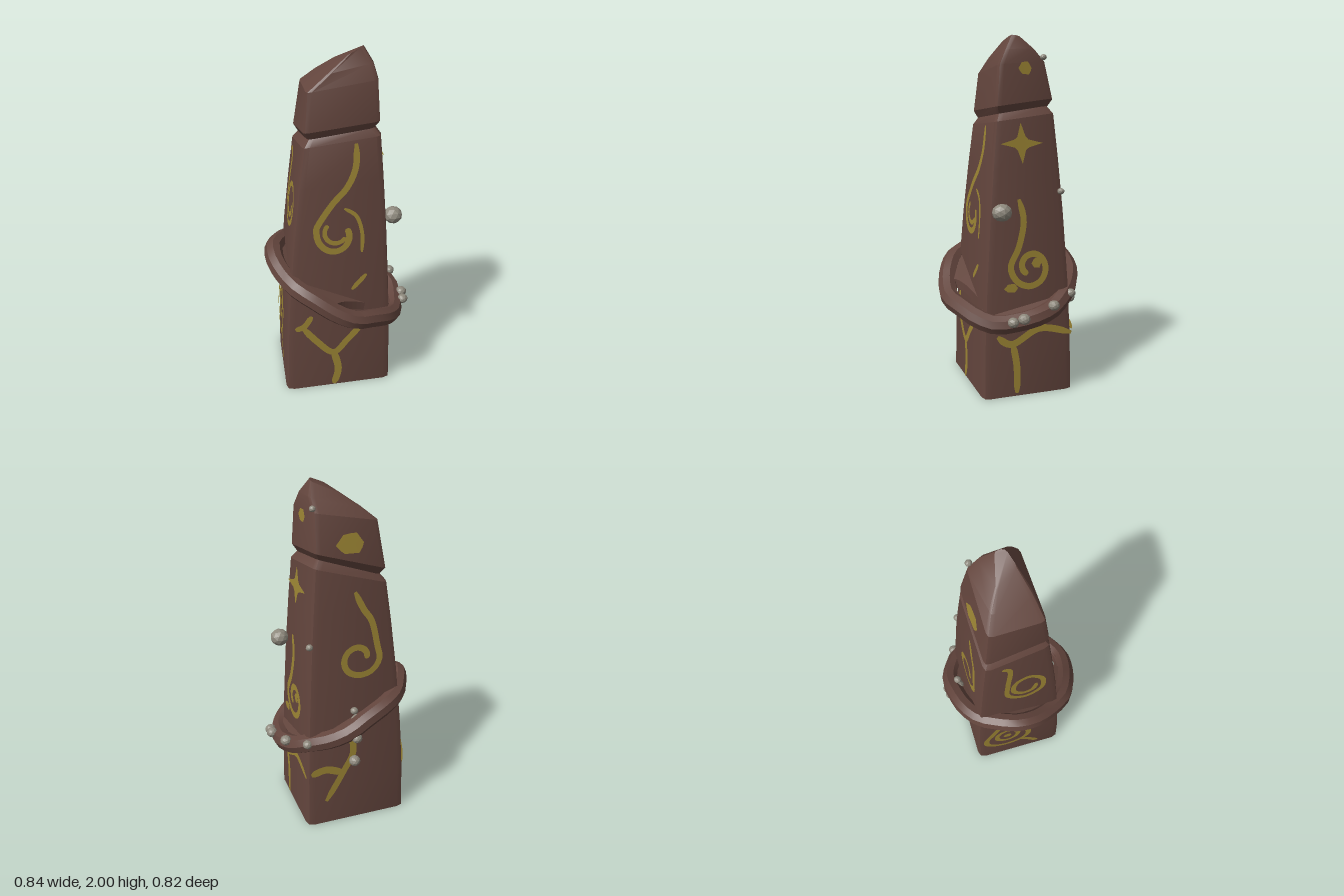
import * as THREE from 'three';
import { toCreasedNormals } from 'three/addons/utils/BufferGeometryUtils.js';

const stone = new THREE.MeshStandardMaterial({ color: 0x63453d });
stone.name = 'brown stone';
const gold = new THREE.MeshStandardMaterial({ color: 0x9c8534, side: THREE.DoubleSide });
gold.name = 'gold paint';
const pebble = new THREE.MeshStandardMaterial({ color: 0x8e897d });
pebble.name = 'grey pebble';

// One corner edge of the shaft: a swelling taper, a notch, then the sloping head.
function cornerEdge(base, shoulder, head, top) {
  const [b, s, h, t] = [base, shoulder, head, top].map((p) => new THREE.Vector3(...p));
  const line = [0, .2, .4, .65, .85, 1].map((f) => {
    const p = b.clone().lerp(s, f ** 1.7);
    p.y = s.y * f;
    return p;
  });
  const notch = (k, rise) => new THREE.Vector3(s.x * k, s.y + rise, s.z * k);
  const mid = h.clone().lerp(t, .5);
  mid.x *= 1.08;
  mid.z *= 1.08;
  return [...line, notch(.86, .04), notch(.97, .08), h, mid, t];
}

const A = cornerEdge([.16, 0, .345], [.145, 1.54, .23], [.138, 1.84, .202], [.115, 2, .09]);
const B = cornerEdge([.39, 0, -.14], [.265, 1.58, -.1], [.228, 1.86, -.06], [.145, 1.99, .05]);
const C = cornerEdge([-.16, 0, -.42], [-.115, 1.45, -.275], [-.09, 1.79, -.22], [.02, 1.92, -.06]);
const D = cornerEdge([-.42, 0, .08], [-.255, 1.5, .06], [-.22, 1.79, .045], [.02, 1.96, .08]);
const edges = [A, B, C, D];

// Shaft faces: left edge, right edge, and the axis along which paint is placed.
const faces = { front: [D, A, 'x'], right: [A, B, 'z'], back: [B, C, null], left: [C, D, null] };

function atHeight(line, y) {
  let k = 0;
  while (k < line.length - 2 && line[k + 1].y < y) k++;
  return line[k].clone().lerp(line[k + 1], (y - line[k].y) / (line[k + 1].y - line[k].y));
}

// Point on a shaft face at position h across and height y.
function onFace([a, b, axis], h, y) {
  let u = h;
  if (axis) {
    const p = atHeight(a, y)[axis], q = atHeight(b, y)[axis];
    u = (h - p) / (q - p);
  }
  return atHeight(a.map((p, k) => p.clone().lerp(b[k], u)), y);
}

function faceNormal([a, b], y) {
  const across = atHeight(b, y).sub(atHeight(a, y));
  const up = atHeight(a, y + .05).sub(atHeight(a, y - .05));
  return across.cross(up).normalize();
}

function geometryFrom(points, index) {
  const g = new THREE.BufferGeometry().setFromPoints(points);
  g.setIndex(index);
  g.computeVertexNormals();
  return g;
}

// Loft through the rounded four-cornered sections.
function shaftGeometry() {
  const pts = [], idx = [], levels = A.length, n = 12;
  for (let k = 0; k < levels; k++) {
    for (let i = 0; i < 4; i++) {
      const p = edges[i][k];
      const r = k === levels - 1 ? .02 : .045 - .002 * k;
      const toward = (q) => p.clone().add(q.clone().sub(p).setLength(r));
      const s = toward(edges[(i + 3) % 4][k]), e = toward(edges[(i + 1) % 4][k]);
      pts.push(s, s.clone().add(e).multiplyScalar(.25).addScaledVector(p, .5), e);
    }
  }
  for (let k = 0; k < levels - 1; k++) {
    for (let i = 0; i < n; i++) {
      const a = k * n + i, b = k * n + (i + 1) % n;
      idx.push(a, b, b + n, a, b + n, a + n);
    }
  }
  const top = (levels - 1) * n;
  for (let i = 1; i < n - 1; i++) idx.push(0, i + 1, i, top, top + i, top + i + 1);
  return toCreasedNormals(geometryFrom(pts, idx), .45);
}

// Painted line following a face, thinner at its ends.
function stroke(face, width, pts) {
  const f = faces[face], n = pts.length * 6, out = [], idx = [];
  const line = new THREE.SplineCurve(pts.map((p) => new THREE.Vector2(...p)));
  const mids = line.getPoints(n).map((p) => onFace(f, p.x, p.y));
  mids.forEach((p, i) => {
    const normal = faceNormal(f, p.y);
    const t = mids[Math.min(i + 1, n)].clone().sub(mids[Math.max(i - 1, 0)]);
    const side = normal.clone().cross(t).setLength(width * Math.min(1, .45 + Math.min(i, n - i) / 6));
    const lifted = p.clone().addScaledVector(normal, .008);
    out.push(lifted.clone().add(side), lifted.sub(side));
    if (i < n) idx.push(2 * i, 2 * i + 1, 2 * i + 3, 2 * i, 2 * i + 3, 2 * i + 2);
  });
  return geometryFrom(out, idx);
}

// Spiral points from one angle to another, shrinking to a fraction of the radius.
function spiral(cx, cy, rx, ry, from, to, shrink) {
  return Array.from({ length: 11 }, (_, i) => {
    const t = THREE.MathUtils.degToRad(from + (to - from) * i / 10);
    const k = 1 + (shrink - 1) * i / 10;
    return [cx + rx * k * Math.cos(t), cy + ry * k * Math.sin(t)];
  });
}

// Filled painted patch: its outline alternates through the given radii.
function patch(face, h, y, rh, ry, radii) {
  const f = faces[face], n = 12, idx = [];
  const place = (a, b) => onFace(f, a, b).addScaledVector(faceNormal(f, b), .009);
  const out = [place(h, y)];
  const flip = f[2] === 'z' ? -1 : 1;
  for (let i = 0; i < n; i++) {
    const t = i / n * Math.PI * 2, r = radii[i % radii.length];
    out.push(place(h + flip * rh * r * Math.cos(t), y + ry * r * Math.sin(t)));
    idx.push(0, i + 1, (i + 1) % n + 1);
  }
  return geometryFrom(out, idx);
}

const planeY = (x, z) => .62 - .34 * x - .36 * z;

export function createModel() {
  const model = new THREE.Group();
  const add = (name, geometry, material) => {
    const mesh = new THREE.Mesh(geometry, material);
    mesh.name = name;
    model.add(mesh);
    return mesh;
  };

  add('shaft', shaftGeometry(), stone);

  // Tilted, slightly uneven ring around the shaft
  const ringPoints = [];
  for (let i = 0; i < 20; i++) {
    const t = i / 20 * Math.PI * 2, r = .358 + .006 * Math.sin(i * 2.3);
    const x = -.008 + r * Math.cos(t), z = r * Math.sin(t);
    ringPoints.push(new THREE.Vector3(x, planeY(x, z) + .008 * Math.sin(i * 1.7), z));
  }
  const ringPath = new THREE.CatmullRomCurve3(ringPoints, true);
  add('ring', toCreasedNormals(new THREE.TubeGeometry(ringPath, 40, .054, 8, true), .5), stone);

  // Web joining the ring to the shaft, open at the front
  const disc = new THREE.Shape().absarc(-.008, 0, .355, 0, Math.PI * 2);
  disc.holes.push(new THREE.Path().absellipse(-.04, -.288, .145, .036, 0, Math.PI * 2, true, -.12));
  const web = new THREE.ExtrudeGeometry(disc, { depth: .05, bevelEnabled: false, curveSegments: 16 });
  web.rotateX(-Math.PI / 2);
  const pos = web.attributes.position;
  for (let i = 0; i < pos.count; i++) {
    pos.setY(i, pos.getY(i) - .02 + planeY(pos.getX(i), pos.getZ(i)));
  }
  web.computeVertexNormals();
  add('ringWeb', web, stone);

  // Painted swirls with their long tails
  const paint = (face, width, pts) => add(face + 'PaintedLine', stroke(face, width, pts), gold);
  paint('front', .018, [[.01, 1.51], [0, 1.38], [-.05, 1.27], [-.13, 1.18], ...spiral(-.12, 1, .105, .125, 150, 385, .6)]);
  paint('front', .013, spiral(-.12, 1.01, .06, .065, 130, 330, .9));
  paint('front', .011, [[-.07, 1.15], [-.01, 1.1], [.015, 1], [.01, .88]]);
  paint('right', .018, [[.13, 1.12], [.11, 1], [.14, .86], ...spiral(.08, .74, -.108, .125, 175, 600, .35)]);
  paint('back', .018, [[.52, 1.43], [.62, 1.33], [.72, 1.25], ...spiral(.54, 1.05, .26, .125, 30, -370, .35)]);
  paint('left', .015, [[.26, 1.42], [.38, 1.38], ...spiral(.6, 1.14, .29, .15, 150, 720, .45)]);

  // Flame on the left face
  paint('left', .018, [[.32, .66], ...spiral(.35, .36, .26, .15, 145, 400, 1), [.32, .66]]);
  paint('left', .016, spiral(.35, .4, .13, .09, 90, 450, 1));
  paint('left', .018, [[.52, .24], [.63, .17], [.72, .09]]);

  // Forked lines around the base
  paint('front', .014, [[.03, .74], [-.05, .65]]);
  paint('front', .018, [[-.36, .42], [-.31, .44], [-.27, .5]]);
  paint('front', .02, [[-.32, .43], [-.25, .33], [-.16, .24], [-.08, .32], [0, .41]]);
  paint('front', .022, [[-.16, .25], [-.135, .12], [-.16, .01]]);
  paint('right', .02, [[.27, .36], [.19, .31], [.04, .385], [-.13, .34]]);
  paint('right', .02, [[.19, .31], [.17, .18], [.17, .02]]);
  paint('back', .02, [[.4, .66], [.46, .48], [.35, .34], [.18, .16]]);
  paint('back', .024, [[.03, .36], [.18, .38], [.35, .34]]);

  // Painted star and dots
  add('paintedStar', patch('right', .1, 1.42, .115, .11, [1, .38, .4]), gold);
  const dot = (face, h, y, rh, ry) => add('paintedDot', patch(face, h, y, rh, ry, [1, .9, 1.1, .95]), gold);
  dot('right', .06, 1.82, .035, .035);
  dot('right', .05, .76, .025, .03);
  dot('right', .19, .63, .035, .025);
  dot('back', .5, 1.69, .2, .055);
  dot('left', .35, .4, .05, .03);

  // Pebbles stuck to the shaft and ring
  const addPebble = (x, y, z, r) => {
    const mesh = add('pebble', toCreasedNormals(new THREE.IcosahedronGeometry(r, 1), .3), pebble);
    mesh.position.set(x, y, z);
    mesh.scale.set(1.05, .92, 1);
    mesh.rotation.y = x * 20;
  };
  addPebble(.215, 1.06, .255, .053);
  addPebble(.31, .47, .262, .031);
  addPebble(.342, .485, .21, .033);
  addPebble(.393, .535, .03, .032);
  addPebble(.372, .57, -.13, .028);
  addPebble(.135, .7, -.292, .036);
  addPebble(.15, .76, -.28, .022);
  addPebble(.185, .62, -.335, .031);
  addPebble(.19, .465, -.325, .033);
  addPebble(.315, 1.15, -.1, .02);
  addPebble(.225, 1.88, -.045, .018);

  return model;
}
